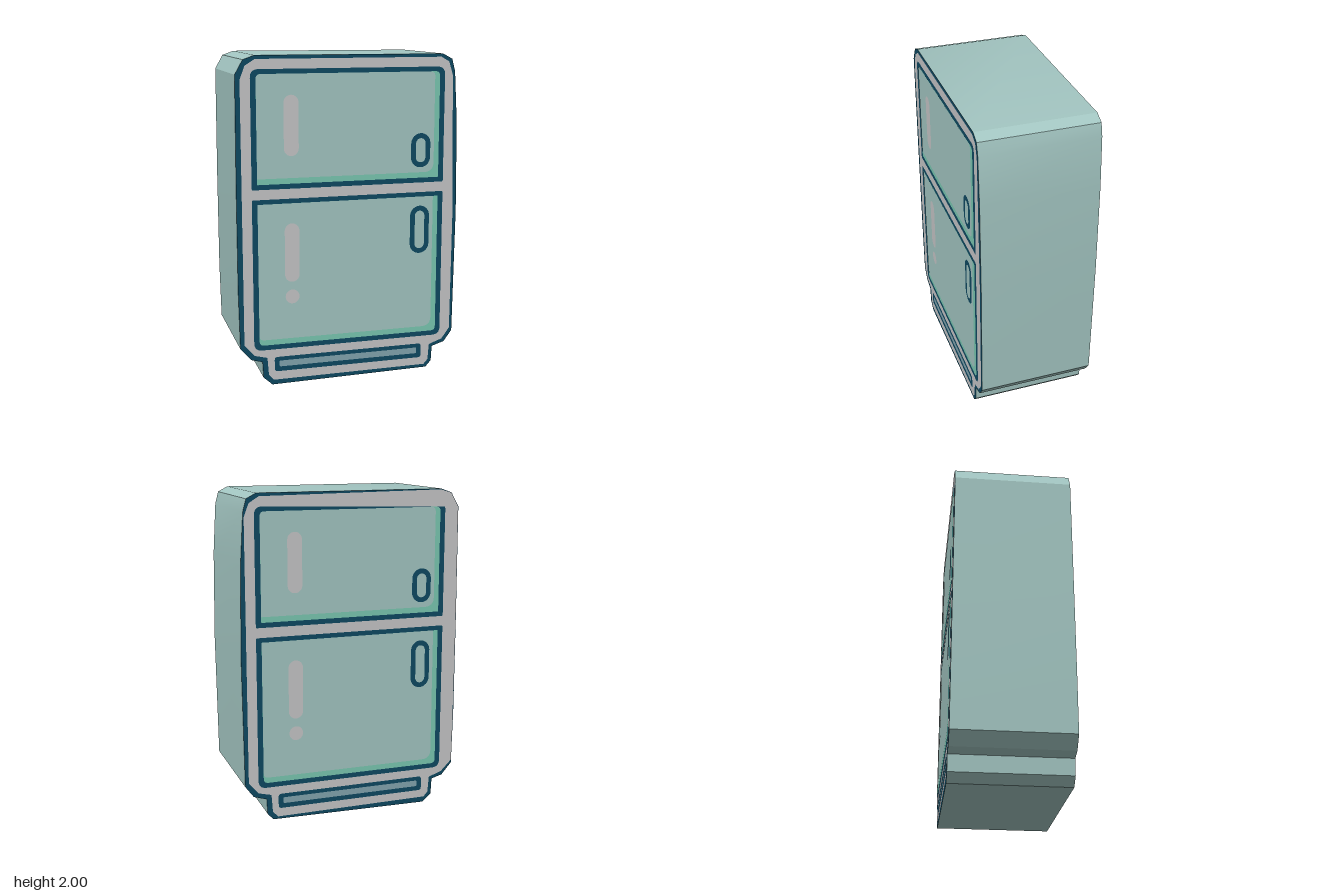
import * as THREE from 'three';
import { toCreasedNormals } from 'three/addons/utils/BufferGeometryUtils.js';

const material = (name, color) => {
  const m = new THREE.MeshStandardMaterial({ color });
  m.name = name;
  return m;
};

const HALF_DEPTH = 0.357; // body only, the painted plates add the rest
const STEP = 0.0015;      // height of one plate layer

// Shape from a list of corner points
const polygon = (pts) => new THREE.Shape(pts.map(([x, y]) => new THREE.Vector2(x, y)));

// Rectangle with its own radius per corner: top left, top right, bottom right, bottom left
function roundRect(x0, x1, y0, y1, [tl, tr, br, bl]) {
  const s = new THREE.Shape();
  s.moveTo(x0 + bl, y0);
  s.lineTo(x1 - br, y0);
  s.quadraticCurveTo(x1, y0, x1, y0 + br);
  s.lineTo(x1, y1 - tr);
  s.quadraticCurveTo(x1, y1, x1 - tr, y1);
  s.lineTo(x0 + tl, y1);
  s.quadraticCurveTo(x0, y1, x0, y1 - tl);
  s.lineTo(x0, y0 + bl);
  s.quadraticCurveTo(x0, y0, x0 + bl, y0);
  return s;
}

// Upright pill with semicircular ends
function pill(x0, x1, y0, y1) {
  const r = (x1 - x0) / 2, cx = (x0 + x1) / 2;
  const s = new THREE.Shape();
  s.absarc(cx, y1 - r, r, 0, Math.PI, false);
  s.absarc(cx, y0 + r, r, Math.PI, 2 * Math.PI, false);
  return s;
}

// Hand-drawn silhouette of the cabinet with its narrower foot
const OUTLINE = [
  [-0.57, 2], [0.585, 1.997], [0.645, 1.965], [0.665, 1.89], [0.684, 1.58], [0.692, 1.03],
  [0.682, 0.245], [0.63, 0.175], [0.55, 0.15], [0.545, 0.055], [0.51, 0.015], [-0.49, 0],
  [-0.545, 0.05], [-0.55, 0.15], [-0.62, 0.17], [-0.685, 0.245], [-0.692, 0.6],
  [-0.692, 1.2], [-0.688, 1.89], [-0.64, 1.975],
];

// Grey rim: shared left half, different right edges on the two faces
const RIM_LEFT = [
  [0.53, 0.165], [0.522, 0.065], [0.495, 0.035], [-0.48, 0.03], [-0.512, 0.065], [-0.52, 0.175],
  [-0.6, 0.195], [-0.66, 0.265], [-0.66, 1.86], [-0.63, 1.94], [-0.57, 1.978],
];
const RIM_RIGHT_FRONT = [
  [0.575, 1.978], [0.625, 1.95], [0.65, 1.87], [0.67, 1.05], [0.665, 0.265], [0.615, 0.195],
];
const RIM_RIGHT_BACK = [
  [0.57, 1.995], [0.638, 1.973], [0.686, 1.888], [0.69, 1.2], [0.685, 0.265], [0.615, 0.195],
];

// Openings in the rim: [x0, x1, y0, y1, corner radii]
const UPPER = [-0.6, 0.6, 1.215, 1.92, [0.05, 0.05, 0.01, 0.01]];
const LOWER = [-0.6, 0.6, 0.225, 1.155, [0.01, 0.01, 0.05, 0.05]];
const VENT = [-0.475, 0.475, 0.083, 0.175, [0.02, 0.02, 0.02, 0.02]];

export function createModel() {
  const teal = material('paleTeal', 0xa4c7c3);
  const grey = material('lightGrey', 0xc7c7c9);
  const navy = material('navyOutline', 0x0e4a63);
  const mint = material('mintShade', 0x7bcab3);
  const slate = material('ventSlate', 0x84a6b1);

  const model = new THREE.Group();
  model.name = 'refrigerator';

  // Cabinet: teal walls, navy ends that show through as the outlines
  const bodyGeo = new THREE.ExtrudeGeometry(polygon(OUTLINE), { depth: 2 * HALF_DEPTH, bevelEnabled: false });
  bodyGeo.translate(0, 0, -HALF_DEPTH);
  const body = new THREE.Mesh(toCreasedNormals(bodyGeo, 0.35), [navy, teal]);
  body.name = 'cabinet';
  model.add(body);

  // One decorated face
  function makeFace(name, rimRight) {
    const face = new THREE.Group();
    face.name = name;
    const plate = (partName, shape, mat, layer) => {
      const mesh = new THREE.Mesh(new THREE.ShapeGeometry(shape, 8), mat);
      mesh.name = partName;
      mesh.position.z = HALF_DEPTH + layer * STEP;
      face.add(mesh);
    };

    // Rim with openings for the two doors and the vent
    const rim = polygon([...rimRight, ...RIM_LEFT]);
    for (const opening of [UPPER, LOWER, VENT]) rim.holes.push(roundRect(...opening));
    plate('rim', rim, grey, 1);

    // Doors: mint shade along the right and bottom, teal panel above it
    for (const [label, [x0, x1, y0, y1, radii]] of [['upper', UPPER], ['lower', LOWER]]) {
      const inner = radii.map((r) => Math.max(r - 0.02, 0.005));
      plate(label + 'DoorShade', roundRect(x0 + 0.033, x1 - 0.032, y0 + 0.03, y1 - 0.028, inner), mint, 1);
      inner[2] = 0.06;
      plate(label + 'DoorPanel', roundRect(x0 + 0.033, x1 - 0.064, y0 + 0.064, y1 - 0.028, inner), teal, 2);
    }

    // Handles
    for (const [label, y0, y1] of [['upper', 1.31, 1.52], ['lower', 0.77, 1.07]]) {
      plate(label + 'HandleOutline', pill(0.388, 0.512, y0, y1), navy, 3);
      plate(label + 'Handle', pill(0.419, 0.481, y0 + 0.031, y1 - 0.031), teal, 4);
    }

    // Glints
    plate('upperGlint', pill(-0.405, -0.315, 1.41, 1.77), grey, 3);
    plate('lowerGlint', pill(-0.405, -0.315, 0.645, 1.005), grey, 3);
    plate('glintDot', pill(-0.403, -0.317, 0.509, 0.596), grey, 3);

    // Vent slot in the foot
    plate('vent', roundRect(-0.445, 0.445, 0.112, 0.15, [0.01, 0.01, 0.01, 0.01]), slate, 1);
    return face;
  }

  model.add(makeFace('frontFace', RIM_RIGHT_FRONT));
  const back = makeFace('backFace', RIM_RIGHT_BACK);
  back.rotation.y = Math.PI;
  model.add(back);

  return model;
}
